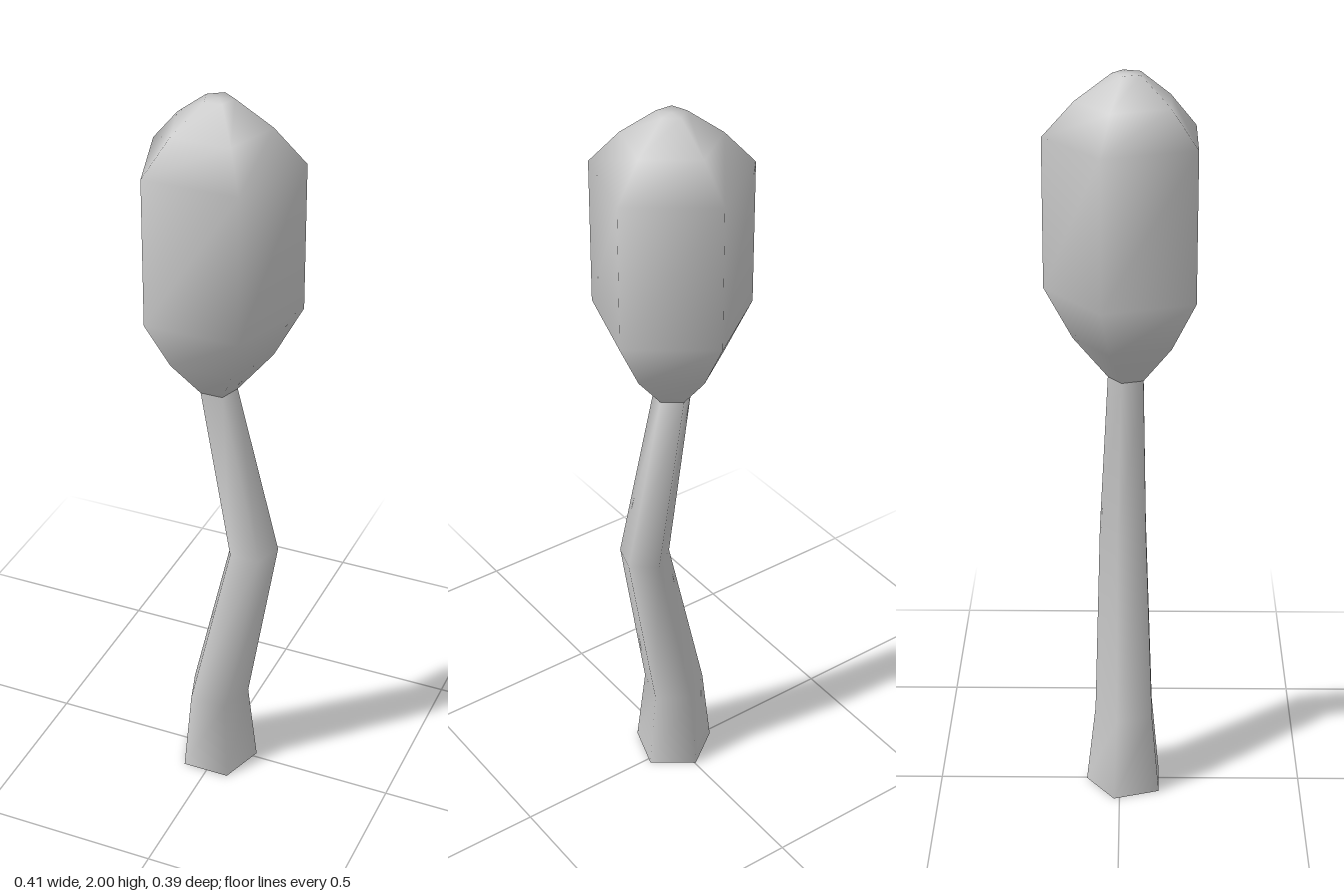
import * as THREE from 'three';

const SIDES = 5;

// Smooth skin over pentagonal rings [y, centreX, centreZ, radius], bottom to top
function loft(rings) {
  const pos = [], index = [];
  for (const [y, cx, cz, r] of rings) {
    for (let k = 0; k < SIDES; k++) {
      const a = (k / SIDES) * Math.PI * 2;
      pos.push(cx + r * Math.sin(a), y, cz - r * Math.cos(a));
    }
  }
  for (let i = 0; i < rings.length - 1; i++) {
    for (let k = 0; k < SIDES; k++) {
      const a = i * SIDES + k, b = i * SIDES + (k + 1) % SIDES;
      const c = a + SIDES, d = b + SIDES;
      index.push(a, c, b, b, c, d);
    }
  }
  const g = new THREE.BufferGeometry();
  g.setAttribute('position', new THREE.Float32BufferAttribute(pos, 3));
  g.setIndex(index);
  g.computeVertexNormals();
  return g;
}

export function createModel() {
  const group = new THREE.Group();
  group.name = 'tree';
  const material = new THREE.MeshStandardMaterial({ color: 0xcccccc });
  const add = (name, geometry) => {
    const mesh = new THREE.Mesh(geometry, material);
    mesh.name = name;
    group.add(mesh);
    return mesh;
  };

  // Crooked, tapering trunk
  add('trunk', loft([
    [0, -0.003, 0.019, 0.111],
    [0.23, -0.004, 0.019, 0.086],
    [0.735, 0.095, 0.014, 0.069],
    [1.21, -0.002, 0.02, 0.051],
  ]));

  // Flat underside of the trunk
  const base = add('trunkBase', new THREE.CircleGeometry(0.111, SIDES, Math.PI / 2));
  base.rotation.x = Math.PI / 2;
  base.rotation.z = Math.PI;
  base.position.set(-0.003, 0, 0.019);

  // Tall bud-shaped crown, closed by a small flat tip
  add('crown', loft([
    [1.21, -0.002, 0.02, 0.051],
    [1.315, 0, 0.019, 0.14],
    [1.45, 0, 0.019, 0.2135],
    [1.84, 0, 0.019, 0.2135],
    [1.93, 0, 0.019, 0.132],
    [2, 0, 0.019, 0.039],
    [2, 0, 0.019, 0],
  ]));

  return group;
}
